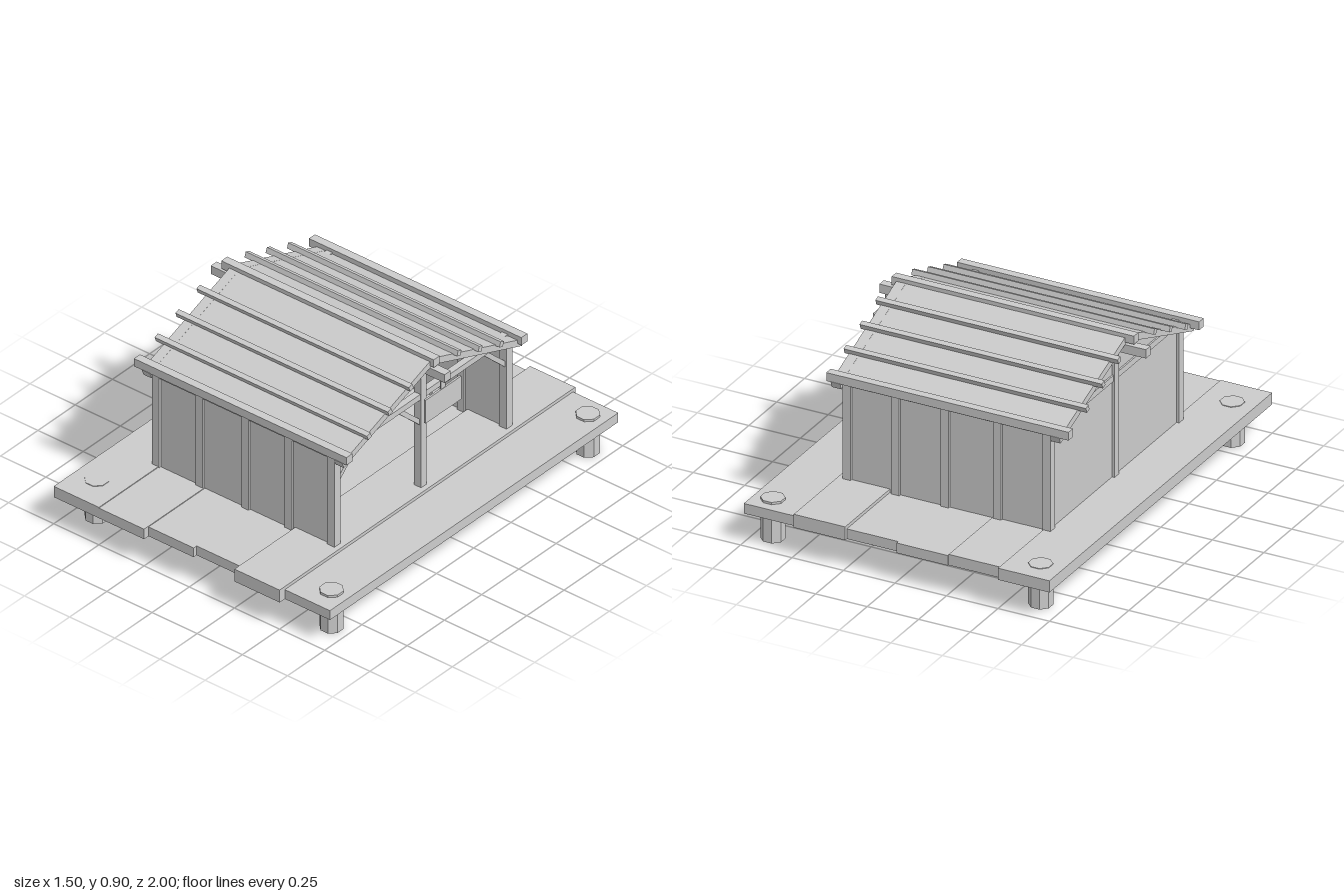
import * as THREE from 'three';

export function createModel() {
  const model = new THREE.Group();
  const wood = new THREE.MeshStandardMaterial({ color: 0xcccccc, flatShading: true });
  wood.name = 'pale grey wood';

  const add = (name, geometry) => {
    const mesh = new THREE.Mesh(geometry, wood);
    mesh.name = name;
    model.add(mesh);
    return mesh;
  };
  // Box given by its extents along each axis
  const box = (name, x0, x1, y0, y1, z0, z1) => {
    const mesh = add(name, new THREE.BoxGeometry(x1 - x0, y1 - y0, z1 - z0));
    mesh.position.set((x0 + x1) / 2, (y0 + y1) / 2, (z0 + z1) / 2);
    return mesh;
  };
  // Bar in the y-z plane between two points, centred on x
  const bar = (name, x, width, depth, z0, y0, z1, y1) => {
    const length = Math.hypot(z1 - z0, y1 - y0);
    const mesh = add(name, new THREE.BoxGeometry(width, depth, length));
    mesh.position.set(x, (y0 + y1) / 2, (z0 + z1) / 2);
    mesh.rotation.x = -Math.atan2(y1 - y0, z1 - z0);
    return mesh;
  };

  // Uneven deck planks: back end, front end, top
  const planks = [
    [-1.0, 1.0, 0.194], [-0.98, 1.0, 0.19], [-0.985, 0.97, 0.186],
    [-0.97, 0.95, 0.186], [-0.985, 1.0, 0.202], [-0.97, 0.965, 0.186],
  ];
  planks.forEach(([back, front, top], i) => {
    const x = -0.75 + i * 0.25;
    box('deckPlank', x, x + 0.25, 0.138, top, back, front);
  });

  // Octagonal piles
  for (const x of [-0.64, 0.66]) for (const z of [-0.875, 0.845]) {
    const pile = add('pile', new THREE.CylinderGeometry(0.054, 0.054, 0.197, 8));
    pile.rotation.y = Math.PI / 8;
    pile.position.set(x, 0.0985, z);
  }

  // Long walls with posts and top plates
  const floor = 0.185;
  for (const z of [-0.573, 0.582]) {
    const side = Math.sign(z);
    for (const x of [-0.515, -0.275, -0.02, 0.22, 0.455]) {
      box('wallPost', x - 0.02, x + 0.02, floor, 0.662, z - 0.02, z + 0.02);
    }
    box('longWall', -0.515, 0.455, floor, 0.655, z - 0.009, z + 0.009);
    box('topPlate', -0.535, 0.475, 0.65, 0.672, z - 0.018, z + 0.018);
    box('eaveBeam', -0.63, 0.546, 0.66, 0.7, side * 0.587 - 0.02, side * 0.587 + 0.02);
  }

  // Closed gable wall, rising to the roof
  const gable = new THREE.Shape([
    new THREE.Vector2(-0.575, floor), new THREE.Vector2(0.575, floor),
    new THREE.Vector2(0.575, 0.65), new THREE.Vector2(0, 0.862),
    new THREE.Vector2(-0.575, 0.65),
  ]);
  const gableWall = add('gableWall',
    new THREE.ExtrudeGeometry(gable, { depth: 0.018, bevelEnabled: false }));
  gableWall.rotation.y = -Math.PI / 2;
  gableWall.position.x = -0.505;

  // Gable frames
  for (const x of [-0.515, 0.455]) {
    box('centrePost', x - 0.02, x + 0.02, floor, 0.81, -0.018, 0.02);
    box('tieBeam', x - 0.016, x + 0.016, 0.655, 0.684, -0.58, 0.585);
  }
  for (const side of [-1, 1]) {
    bar('innerBrace', 0.455, 0.022, 0.022, side * 0.01, 0.53, side * 0.15, 0.66);
    bar('cornerBrace', 0.455, 0.022, 0.022, side * 0.565, 0.525, side * 0.415, 0.665);
  }

  // Roof slopes: rafters, covering and battens
  const slope = 0.367;
  const roofY = (z) => 0.885 - slope * Math.abs(z);
  for (const side of [-1, 1]) {
    const end = side * 0.603;
    for (const x of [-0.563, 0.501]) {
      bar('rafter', x, 0.046, 0.032, 0, roofY(0) - 0.017, end, roofY(end) - 0.017);
    }
    const cover = side * 0.59;
    bar('roofPanel', -0.031, 1.02, 0.014, 0, roofY(0) - 0.008, cover, roofY(cover) - 0.008);
    const rows = side > 0 ? [0.172, 0.313, 0.453] : [0.15, 0.292, 0.435];
    for (const row of rows) {
      const batten = box('roofBatten', -0.63, 0.546, -0.013, 0.013, -0.012, 0.012);
      batten.position.set(-0.042, roofY(row) + 0.01, side * row);
      batten.rotation.x = side * Math.atan(slope);
    }
  }
  box('ridgeCap', -0.63, 0.546, 0.856, 0.896, -0.019, 0.021);
  box('ridgeBeam', -0.688, 0.606, 0.803, 0.845, -0.019, 0.021);

  // Blank hanging board under the ridge beam
  box('hangingBoard', 0.573, 0.583, 0.635, 0.755, -0.12, 0.12);
  box('boardHanger', 0.575, 0.581, 0.75, 0.806, -0.015, 0.015);

  return model;
}
